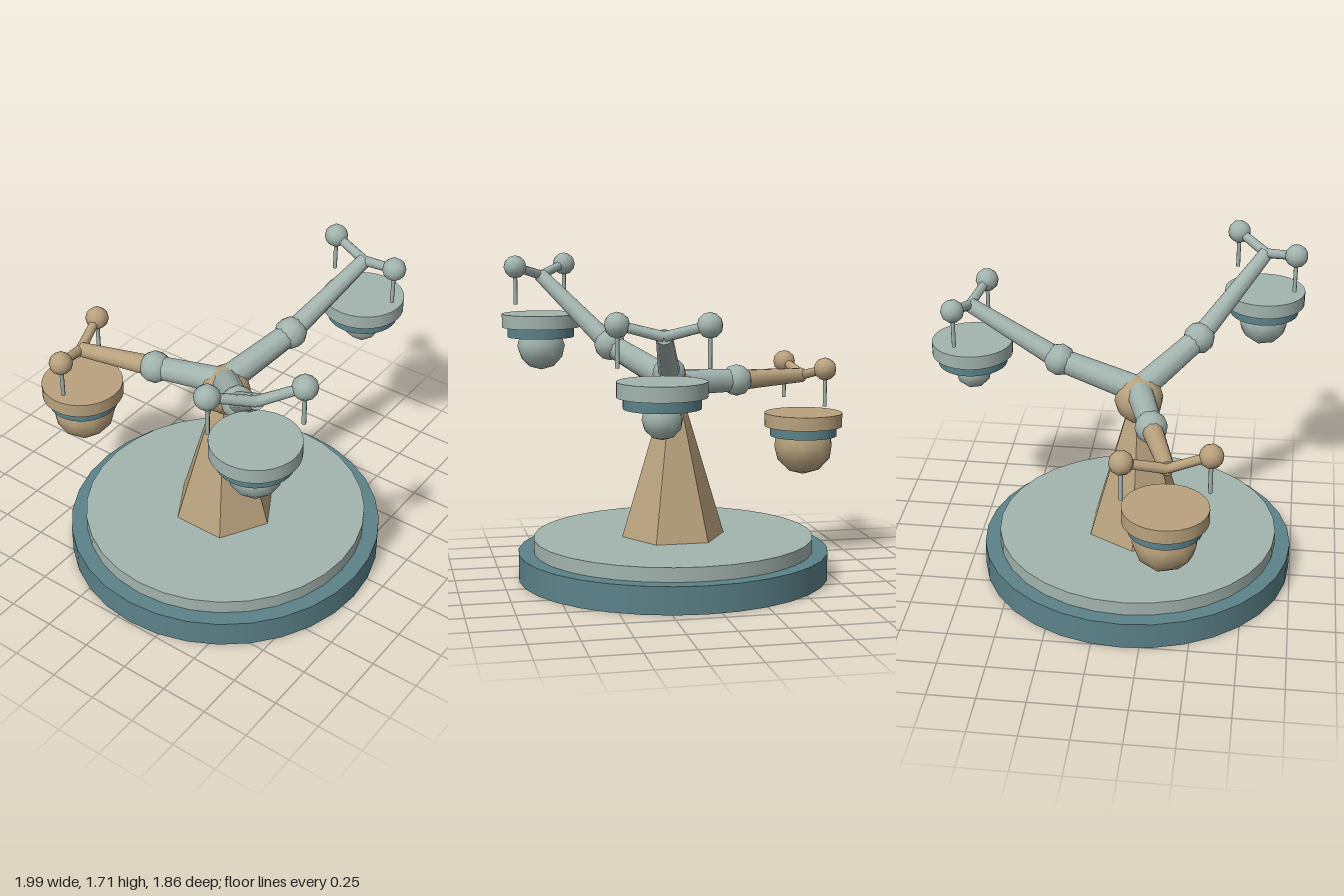
import * as THREE from 'three';

const material = (name, color) => {
  const m = new THREE.MeshStandardMaterial({ color });
  m.name = name;
  return m;
};

export function createModel() {
  const grey = material('paleGreyGreen', 0xa3b4af);
  const tan = material('tan', 0xb9a27e);
  const teal = material('teal', 0x5b8289);
  const model = new THREE.Group();
  model.name = 'threeArmedLamp';

  const V = (p) => new THREE.Vector3(...p);
  const add = (parent, name, geometry, mat, pos) => {
    const mesh = new THREE.Mesh(geometry, mat);
    mesh.name = name;
    mesh.position.copy(pos);
    parent.add(mesh);
    return mesh;
  };
  // Upright disc between two heights
  const disc = (parent, name, r, y0, y1, x, z, mat, sides = 32) =>
    add(parent, name, new THREE.CylinderGeometry(r, r, y1 - y0, sides), mat,
      new THREE.Vector3(x, (y0 + y1) / 2, z));
  // Faceted ball with a vertex at each pole
  const ball = (parent, name, r, p, mat, detail = 1) =>
    add(parent, name, new THREE.IcosahedronGeometry(r, detail).rotateZ(0.5536), mat, V(p));
  // Tapered bar from point a to point b
  const bar = (parent, name, a, b, ra, rb, mat, sides = 10) => {
    const from = V(a), to = V(b);
    const dir = to.clone().sub(from);
    const mesh = add(parent, name, new THREE.CylinderGeometry(rb, ra, dir.length(), sides), mat,
      from.clone().add(to).multiplyScalar(0.5));
    mesh.quaternion.setFromUnitVectors(new THREE.Vector3(0, 1, 0), dir.normalize());
    return mesh;
  };

  // Stepped round base
  const cx = -0.155, cz = 0.078;
  disc(model, 'basePlinth', 0.838, 0, 0.145, cx, cz, teal);
  disc(model, 'baseStep', 0.755, 0.145, 0.22, cx, cz, grey);

  // Six-sided tapering pillar and hub
  const pillar = new THREE.CylinderGeometry(0.073, 0.28, 0.69, 6).toNonIndexed();
  pillar.computeVertexNormals();
  add(model, 'pillar', pillar, tan, new THREE.Vector3(cx, 0.565, cz));
  ball(model, 'hub', 0.132, [cx, 1.0, cz], tan);

  // Each arm: elbow, tip, two yoke ends, dish centre, dish top, bulb radius, colour
  const arms = [
    { name: 'leftArm', elbow: [0.28, 1.15, 0.185], tip: [0.78, 1.385, 0.31],
      ends: [[0.83, 1.44, 0.1], [0.725, 1.44, 0.525]],
      dish: [0.778, 0.32], top: 1.175, bulb: 0.1, mat: grey },
    { name: 'rightArm', elbow: [-0.445, 1.23, 0.37], tip: [-0.775, 1.595, 0.705],
      ends: [[-0.937, 1.65, 0.553], [-0.622, 1.65, 0.863]],
      dish: [-0.78, 0.708], top: 1.38, bulb: 0.134, mat: grey },
    { name: 'backArm', elbow: [-0.255, 1.04, -0.297], tip: [-0.37, 1.045, -0.705],
      ends: [[-0.58, 1.1, -0.657], [-0.155, 1.1, -0.77]],
      dish: [-0.368, -0.712], top: 0.833, bulb: 0.168, mat: tan },
  ];

  for (const { name, elbow, tip, ends, dish, top, bulb, mat } of arms) {
    const arm = new THREE.Group();
    arm.name = name;
    model.add(arm);
    bar(arm, 'upperArm', [cx, 1.05, cz], elbow, 0.073, 0.062, grey);
    ball(arm, 'elbow', 0.086, elbow, grey);
    bar(arm, 'forearm', elbow, tip, 0.057, 0.04, mat);

    // V-shaped yoke with end balls and short hanging rods
    for (const end of ends) {
      const [x, y, z] = end;
      bar(arm, 'yoke', tip, end, 0.027, 0.024, mat, 8);
      ball(arm, 'yokeEnd', 0.063, end, mat);
      bar(arm, 'rod', [x, y - 0.205, z], end, 0.011, 0.011, grey, 8);
    }

    // Round dish, collar and bulb
    const [x, z] = dish;
    disc(arm, 'dish', 0.218, top - 0.075, top, x, z, mat);
    disc(arm, 'collar', 0.187, top - 0.13, top - 0.075, x, z, teal);
    ball(arm, 'bulb', bulb, [x, top - 0.182, z], mat);
  }
  return model;
}
